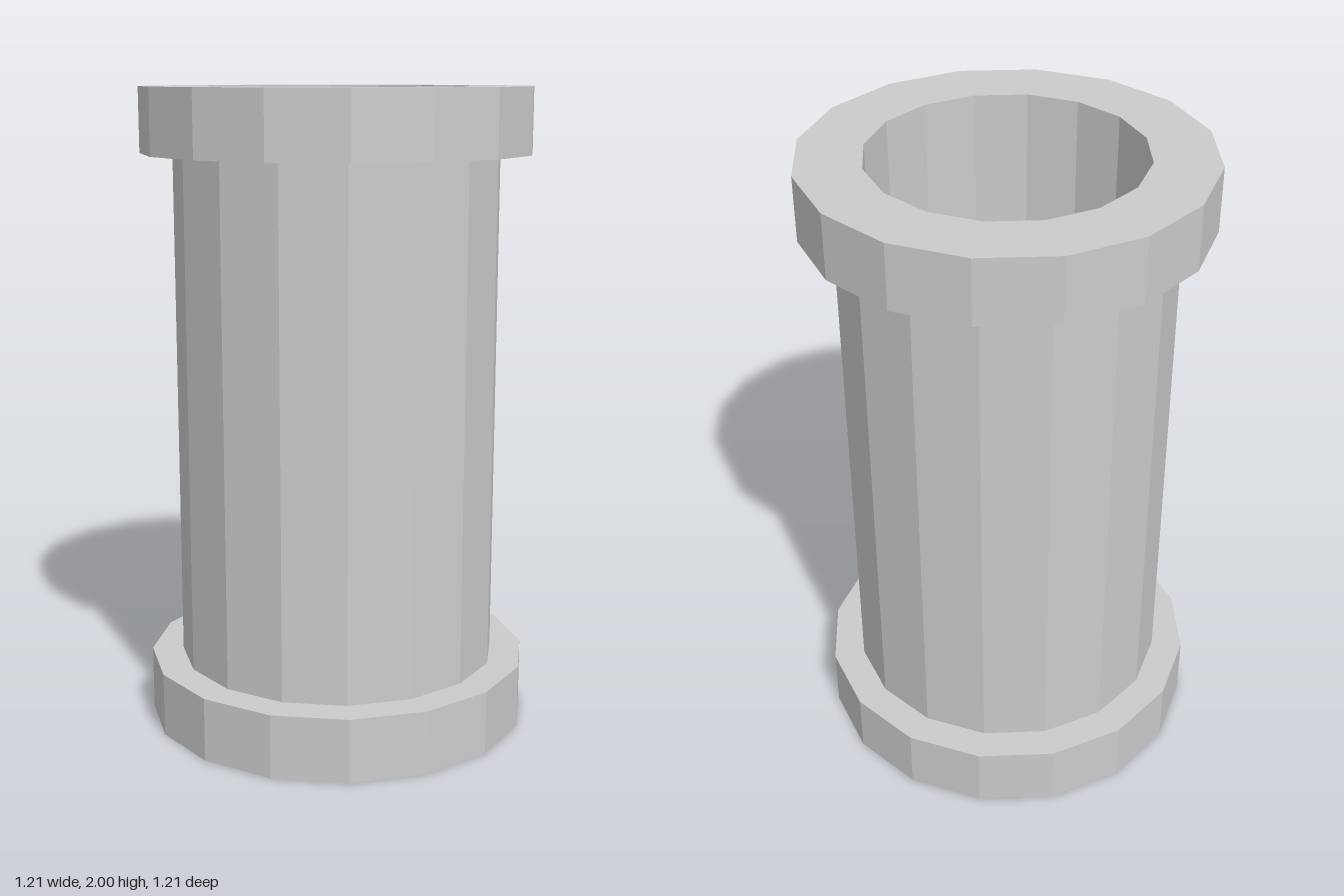
import * as THREE from 'three';

const SIDES = 16;
const BORE = 0.41, PIPE = 0.505, FLANGE = 0.605;
const HEIGHT = 2, RIM = 0.2;

const material = new THREE.MeshStandardMaterial({ color: 0xcccccc, flatShading: true });

// Faceted ring turned from [radius, y] points
function turned(name, profile) {
  const points = profile.map(([r, y]) => new THREE.Vector2(r, y));
  const geometry = new THREE.LatheGeometry(points, SIDES).toNonIndexed();
  geometry.computeVertexNormals();
  const mesh = new THREE.Mesh(geometry, material);
  mesh.name = name;
  return mesh;
}

export function createModel() {
  const model = new THREE.Group();
  model.name = 'flangedPipe';
  const top = HEIGHT - RIM;

  // Pipe body: outer wall and bore between the flanges
  const body = new THREE.Group();
  body.name = 'pipeBody';
  body.add(
    turned('outerWall', [[PIPE, RIM], [PIPE, top]]),
    turned('boreWall', [[BORE, top], [BORE, RIM]])
  );

  // End flanges, left open where they meet the pipe wall
  const lower = [[BORE, RIM], [BORE, 0], [FLANGE, 0], [FLANGE, RIM], [PIPE, RIM]];
  const upper = lower.map(([r, y]) => [r, HEIGHT - y]).reverse();
  model.add(body, turned('bottomFlange', lower), turned('topFlange', upper));
  return model;
}
